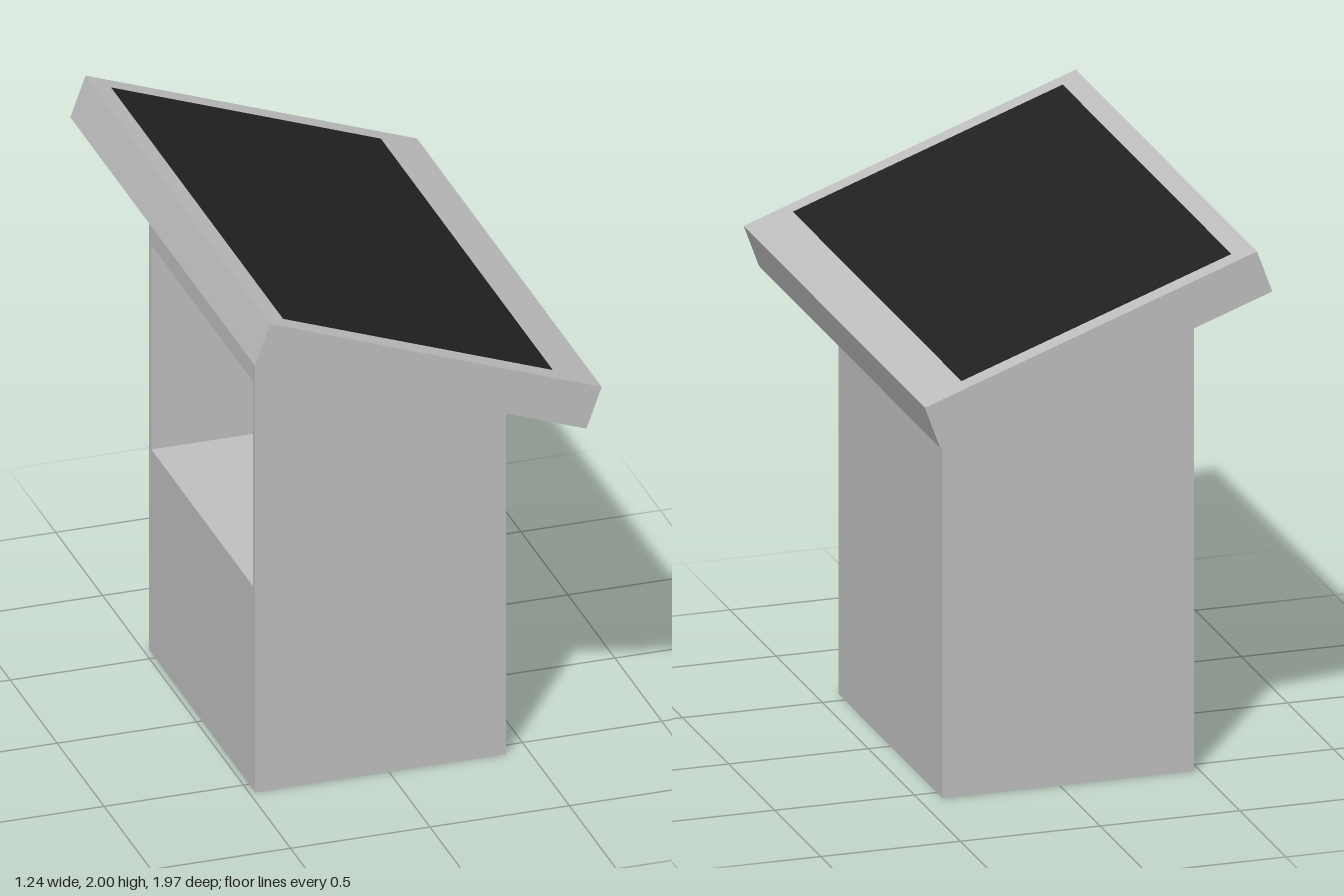
import * as THREE from 'three';

export function createModel() {
  const model = new THREE.Group();
  const grey = new THREE.MeshStandardMaterial({ color: 0xc0c0c0 });
  grey.name = 'light grey';
  const black = new THREE.MeshStandardMaterial({ color: 0x212121 });
  black.name = 'black';

  const tilt = THREE.MathUtils.degToRad(-20);
  const xMin = -0.48, xMax = 0.42, zHalf = 0.565, wall = 0.024;
  // Height of the sloping underside of the top at a given x
  const underside = (x) => 1.625 + x * Math.tan(tilt);

  // Extrudes an outline of [x, y] points from z0 over a depth along z
  function addPrism(name, points, z0, depth) {
    const shape = new THREE.Shape(points.map(([x, y]) => new THREE.Vector2(x, y)));
    const geometry = new THREE.ExtrudeGeometry(shape, { depth, bevelEnabled: false });
    geometry.translate(0, 0, z0);
    const mesh = new THREE.Mesh(geometry, grey);
    mesh.name = name;
    model.add(mesh);
  }

  // Upright panel across z between two x positions, its top cut to the slope or to a height
  function addPanel(name, x0, x1, y0, y1) {
    addPrism(name, [
      [x0, y0], [x1, y0], [x1, y1 ?? underside(x1)], [x0, y1 ?? underside(x0)],
    ], -zHalf + wall, 2 * (zHalf - wall));
  }

  // Side walls with sloping tops
  const sideOutline = [[xMin, 0], [xMax, 0], [xMax, underside(xMax)], [xMin, underside(xMin)]];
  addPrism('frontSideWall', sideOutline, zHalf - wall, wall);
  addPrism('backSideWall', sideOutline, -zHalf, wall);

  // Closed low wall, and the high wall with its wide opening
  addPanel('lowWall', xMax - wall, xMax, 0);
  addPanel('openingLowerPanel', xMin, xMin + wall, 0, 0.775);
  addPanel('openingUpperPanel', xMin, xMin + wall, 1.555);

  // Shelf inside, level with the lower edge of the opening
  addPanel('shelf', xMin + wall, xMax - wall, 0.775 - wall, 0.775);

  // Tilted top slab with an inset black panel
  const top = new THREE.Group();
  top.name = 'tiltedTop';
  top.position.set(0, 1.71, 0);
  top.rotation.z = tilt;
  const slab = new THREE.Mesh(new THREE.BoxGeometry(1.265, 0.16, 1.966), grey);
  slab.name = 'topSlab';
  const panel = new THREE.Mesh(new THREE.BoxGeometry(1.027, 0.004, 1.826), black);
  panel.name = 'blackPanel';
  panel.position.set(-0.045, 0.08, 0);
  top.add(slab, panel);
  model.add(top);

  return model;
}
